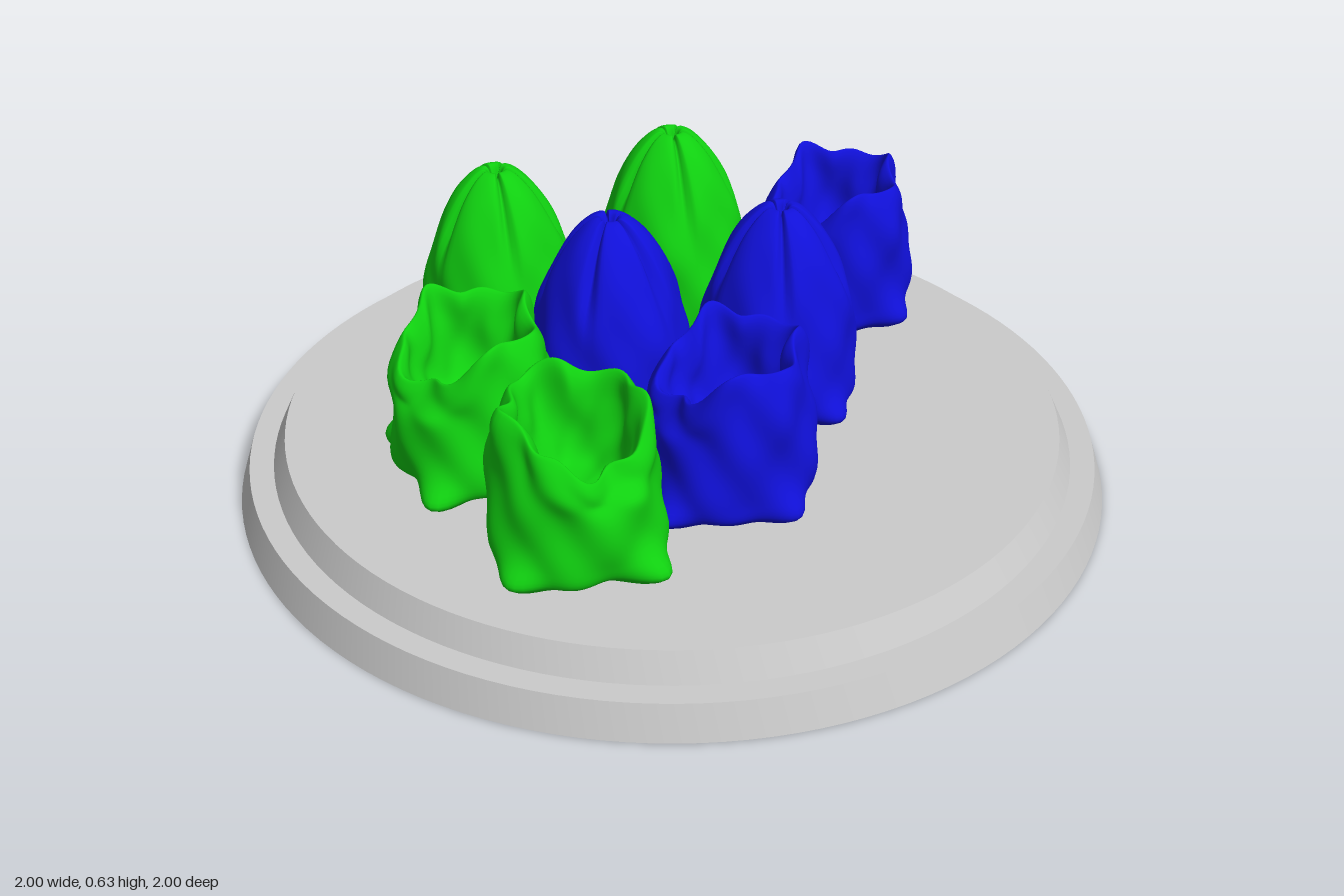
import * as THREE from 'three';
import { mergeVertices, toCreasedNormals } from 'three/addons/utils/BufferGeometryUtils.js';

const GREEN = 0x10d010, BLUE = 0x1010d8, BASE = 0.145;
const material = (color) => new THREE.MeshStandardMaterial({ color, side: THREE.DoubleSide });
const wrap = (a) => Math.atan2(Math.sin(a), Math.cos(a));
const bell = (d, w) => Math.exp(-(d * d) / (w * w));

// Four pointed feet around the hem: [angle, reach]
const FEET = [[0, 0.06], [1.5, 0.035], [3.05, 0.04], [-1.6, 0.045]];

// Profiles as [radius, height above the plinth]
const CLOSED = [[0.15, 0], [0.178, 0.025], [0.185, 0.07], [0.181, 0.15], [0.172, 0.23], [0.152, 0.31],
  [0.122, 0.385], [0.085, 0.445], [0.045, 0.483], [0.024, 0.488], [0.01, 0.465], [0, 0.45]];
const OPEN = [[0.15, 0], [0.178, 0.025], [0.185, 0.07], [0.182, 0.15], [0.176, 0.23], [0.166, 0.31],
  [0.155, 0.36], [0.143, 0.378], [0.13, 0.36], [0.12, 0.3], [0.108, 0.22], [0.08, 0.165], [0.04, 0.15], [0, 0.148]];

// Spins a smooth profile, then moves each vertex by shape(angle, radius, height)
function spun(profile, shape) {
  const curve = new THREE.CatmullRomCurve3(profile.map(([r, h]) => new THREE.Vector3(r, h, 0)));
  const points = curve.getPoints(60).map((p) => new THREE.Vector2(Math.max(p.x, 0), p.y));
  let geo = new THREE.LatheGeometry(points, 90);
  const pos = geo.attributes.position;
  for (let i = 0; i < pos.count; i++) {
    const x = pos.getX(i), z = pos.getZ(i);
    const a = Math.atan2(x, z);
    const [r, h] = shape(a, Math.hypot(x, z), pos.getY(i));
    pos.setXYZ(i, r * Math.sin(a), h, r * Math.cos(a));
  }
  geo.deleteAttribute('uv');
  geo.deleteAttribute('normal');
  geo = mergeVertices(geo, 1e-4);
  geo.computeVertexNormals();
  return geo;
}

// Reach of the feet at an angle and height
function hem(a, h) {
  let out = 0;
  for (const [at, reach] of FEET) out += reach * bell(wrap(a - at), 0.24) * bell(h - 0.015, 0.05);
  return out;
}

// Soft hand-modelled unevenness
const lumps = (a, h) => 0.004 * Math.sin(3 * a + 14 * h) + 0.004 * Math.sin(5 * a - 22 * h + 1) +
  0.003 * Math.sin(8 * a + 30 * h + 2);

// Closed bud: five petals meeting in seams at the tip
function closedShape(a, r, h) {
  const step = Math.PI * 2 / 5;
  const d = wrap(((a + 0.3 + 0.25 * h) % step + step) % step - step / 2);
  const upper = THREE.MathUtils.smoothstep(h, 0.2, 0.42);
  const seam = bell(d, 0.09) * upper;
  const hold = Math.min(1, r / 0.12);
  return [r * (1 - 0.11 * seam) + (lumps(a, h) * (1 - 0.7 * upper) + hem(a, h)) * hold,
    h - 0.018 * seam * Math.min(1, r / 0.02)];
}

// Open cup: ragged rim that dips on one side
function openShape(a, r, h) {
  const d = wrap(a + 0.5);
  const high = THREE.MathUtils.smoothstep(h, 0.16, 0.38);
  const outer = Math.min(1, r / 0.12);
  const ragged = 0.012 * Math.sin(4 * a + 1) + 0.009 * Math.sin(7 * a);
  const drop = high * (0.11 * bell(d, 0.8) + ragged + 0.012);
  const fold = high * (0.008 * Math.sin(5 * a) + 0.005 * Math.sin(9 * a + 2));
  const foot = r > 0.14 ? hem(a, h) : 0;
  return [r + (lumps(a, h) * 1.3 + fold) * outer + foot, h - drop];
}

export function createModel() {
  const model = new THREE.Group();

  // Two-step round plinth
  const outline = [[0, 0], [1, 0], [0.975, 0.08], [0.92, 0.08], [0.89, BASE], [0, BASE]]
    .map(([x, y]) => new THREE.Vector2(x, y));
  const plinth = new THREE.Mesh(
    toCreasedNormals(new THREE.LatheGeometry(outline, 128), 0.5),
    new THREE.MeshStandardMaterial({ color: 0xcccccc }));
  plinth.name = 'plinth';
  model.add(plinth);

  // Buds and cups: x, z, turn, colour
  const closed = spun(CLOSED, closedShape), open = spun(OPEN, openShape);
  const green = material(GREEN), blue = material(BLUE);
  const place = (name, geometry, list) => list.forEach(([x, z, turn, mat], i) => {
    const mesh = new THREE.Mesh(geometry, mat);
    mesh.name = name + (i + 1);
    mesh.position.set(x, BASE, z);
    mesh.rotation.y = turn;
    model.add(mesh);
  });
  place('closedBud', closed, [
    [-0.02, -0.47, 2.57, green], [-0.42, -0.25, 2.6, green],
    [-0.14, -0.02, -3.05, blue], [0.24, -0.09, 2.36, blue]]);
  place('openCup', open, [
    [0.38, -0.51, -0.5, blue], [0.14, 0.31, -0.7, blue],
    [-0.43, 0.23, -0.3, green], [-0.18, 0.55, 1.0, green]]);
  return model;
}
